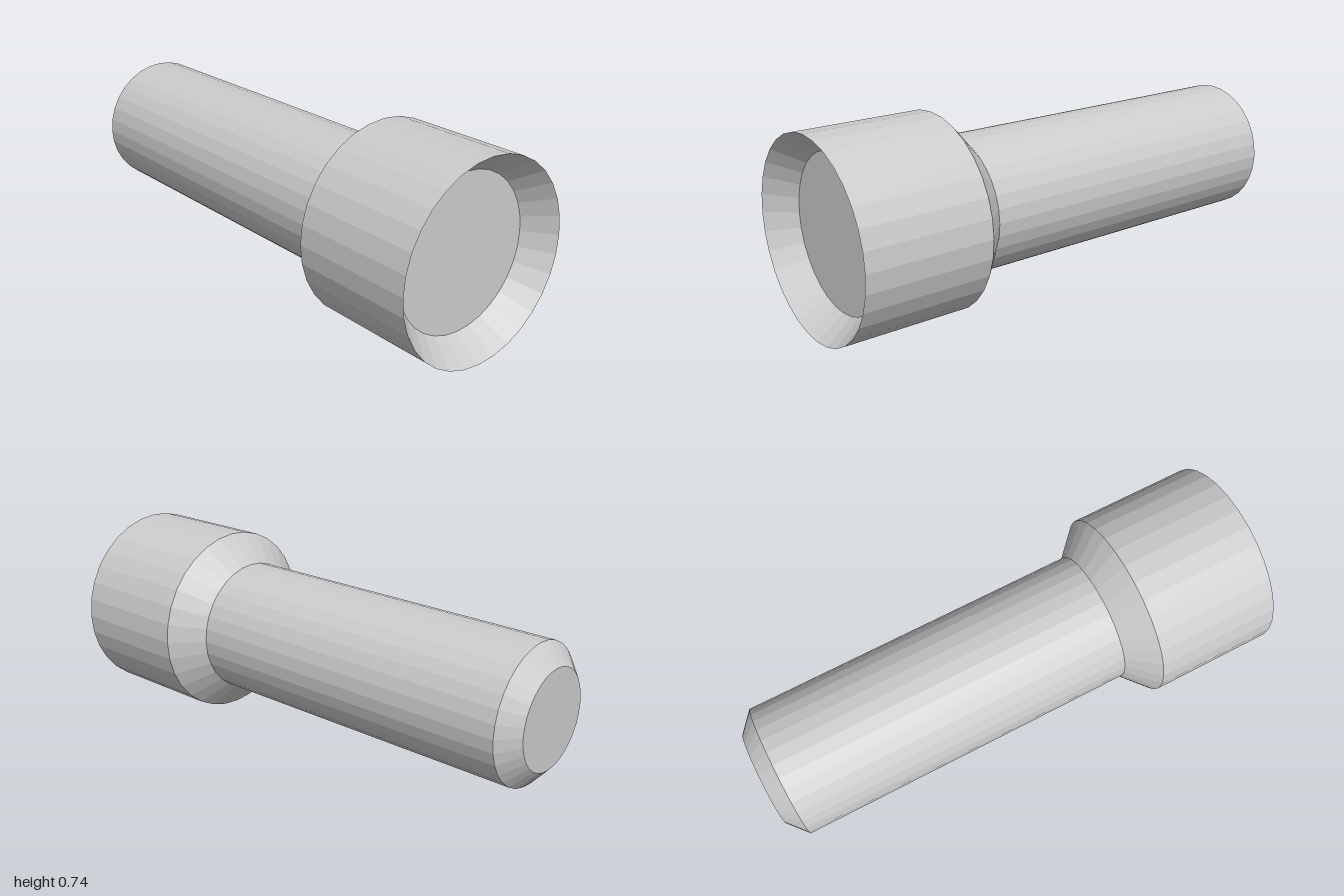
import * as THREE from 'three';

const SIDES = 32;
const AXIS_HEIGHT = 0.37;

export function createModel() {
  const group = new THREE.Group();
  const material = new THREE.MeshStandardMaterial({ color: 0xcccccc, flatShading: true });

  // Turns a [radius, z] profile, listed back to front, around the z axis
  function turned(name, profile) {
    const points = profile.map(([r, z]) => new THREE.Vector2(r, z));
    const geometry = new THREE.LatheGeometry(points, SIDES);
    geometry.rotateX(Math.PI / 2);
    const mesh = new THREE.Mesh(geometry, material);
    mesh.name = name;
    mesh.position.y = AXIS_HEIGHT;
    group.add(mesh);
  }

  // Shaft with a chamfered, closed back end
  turned('shaft', [[0, -1], [0.185, -1], [0.26, -0.935], [0.26, 0.405]]);

  // Head: sloped shoulder, straight collar and a conical recess with a flat floor
  turned('head', [[0.26, 0.405], [0.37, 0.51], [0.37, 1], [0.29, 0.895], [0, 0.895]]);

  return group;
}
